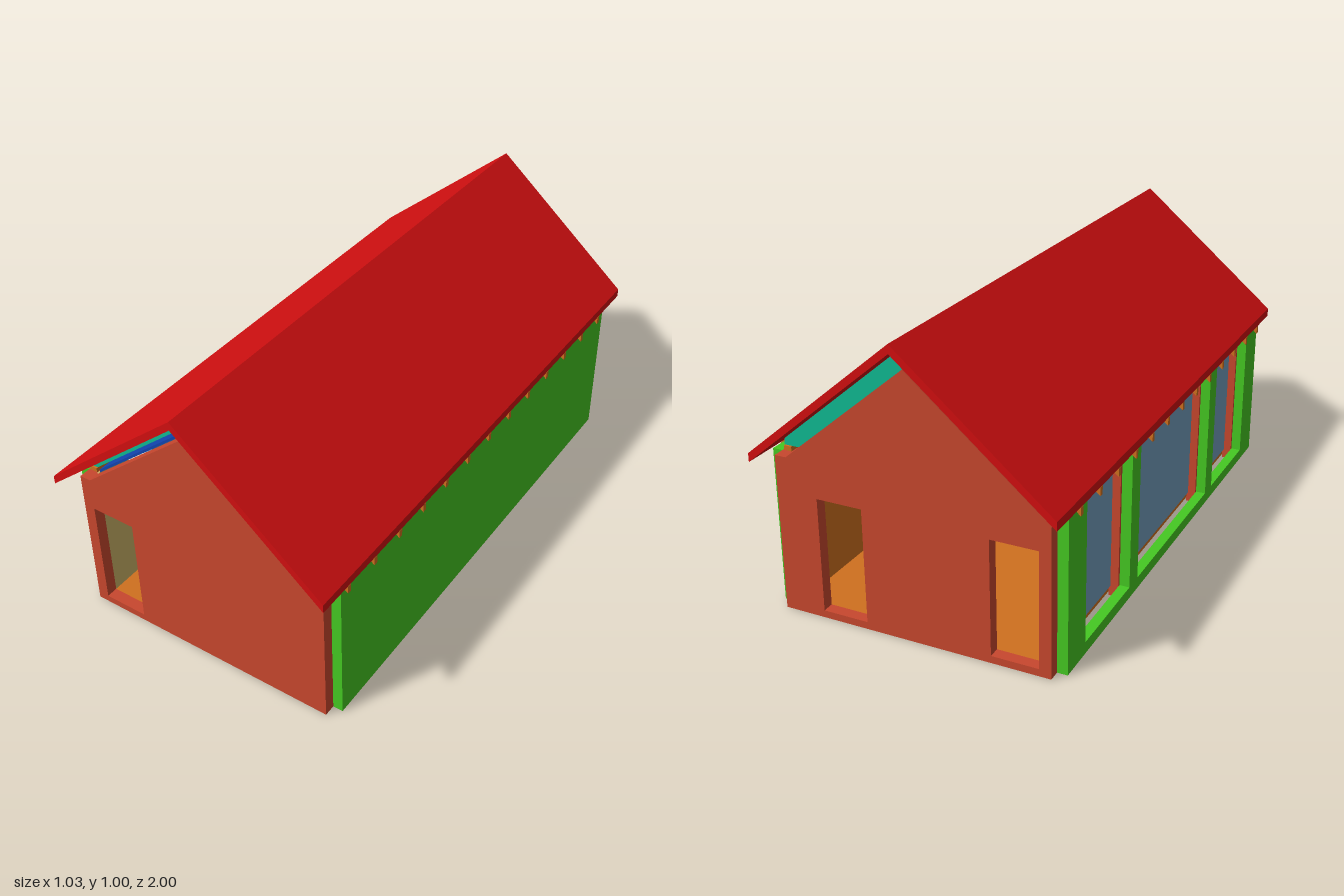
import * as THREE from 'three';

export function createModel() {
  const model = new THREE.Group();
  model.name = 'house';

  const mat = (name, color) => {
    const m = new THREE.MeshStandardMaterial({ color });
    m.name = name;
    return m;
  };
  const red = mat('roofRed', 0xd20f10);
  const green = mat('claddingGreen', 0x45c922);
  const brick = mat('brick', 0xc8472e);
  const teal = mat('insulationTeal', 0x10ba92);
  const orange = mat('timberOrange', 0xd0701f);
  const blue = mat('ceilingBlue', 0x1145b0);
  const tan = mat('liningTan', 0xccb468);
  const glass = mat('glassBlue', 0x74a0c0);

  const add = (name, geometry, material) => {
    const mesh = new THREE.Mesh(geometry, material);
    mesh.name = name;
    model.add(mesh);
    return mesh;
  };
  // Box from its lower and upper limits
  const box = (name, material, x0, x1, y0, y1, z0, z1) =>
    add(name, new THREE.BoxGeometry(x1 - x0, y1 - y0, z1 - z0)
      .translate((x0 + x1) / 2, (y0 + y1) / 2, (z0 + z1) / 2), material);
  // Front-plane outline extruded from z0 to z1, with optional rectangular holes
  const prism = (name, material, points, z0, z1, holes = []) => {
    const shape = new THREE.Shape(points.map(([x, y]) => new THREE.Vector2(x, y)));
    for (const [x0, x1, y0, y1] of holes) {
      shape.holes.push(new THREE.Path([
        new THREE.Vector2(x0, y0), new THREE.Vector2(x0, y1),
        new THREE.Vector2(x1, y1), new THREE.Vector2(x1, y0)]));
    }
    const g = new THREE.ExtrudeGeometry(shape, { depth: z1 - z0, bevelEnabled: false });
    return add(name, g.translate(0, 0, z0), material);
  };
  const mirrorX = (points, side) => points.map(([x, y]) => [x * side, y]);

  // Roof covering
  prism('roof', red, [[0, 1], [-0.517, 0.565], [-0.517, 0.535], [0, 0.97],
    [0.517, 0.535], [0.517, 0.565]], -1, 1);

  // Gable walls with door openings
  const gable = [[-0.47, 0], [0.47, 0], [0.47, 0.54], [0.43, 0.54], [0, 0.9],
    [-0.43, 0.54], [-0.47, 0.54]];
  const door = [-0.43, -0.27, 0.025, 0.42];
  prism('frontGable', brick, gable, 0.893, 0.933, [door]);
  prism('backGable', brick, gable, -0.933, -0.893, [door, [0.165, 0.325, 0.025, 0.42]]);

  // Floor slab
  box('floor', orange, -0.43, 0.43, 0.004, 0.025, -0.893, 0.893);

  // Solid side wall: cladding, brick leaf and inner lining
  box('leftCladding', green, 0.47, 0.505, 0, 0.54, -0.893, 0.893);
  box('leftBrickLeaf', brick, 0.432, 0.47, 0, 0.54, -0.893, 0.893);
  box('leftLining', orange, 0.424, 0.432, 0.025, 0.54, -0.893, 0.893);

  // Glazed side wall: frame, sill, brick piers and panes
  box('windowSill', green, -0.505, -0.47, 0, 0.04, -0.893, 0.893);
  for (const s of [-1, 1]) {
    const span = (a, b) => (s > 0 ? [a, b] : [-b, -a]);
    box('cornerCladding', green, -0.505, -0.47, 0.04, 0.54, ...span(0.765, 0.893));
    box('cornerPier', brick, -0.47, -0.436, 0, 0.54, ...span(0.755, 0.893));
    box('cornerLining', tan, -0.436, -0.43, 0.025, 0.54, ...span(0.755, 0.893));
    box('windowPost', green, -0.505, -0.47, 0.04, 0.54, ...span(0.34, 0.41));
    box('postPier', brick, -0.47, -0.436, 0, 0.54, ...span(0.33, 0.42));
    box('sidePane', glass, -0.442, -0.434, 0.035, 0.465, ...span(0.42, 0.755));
  }
  box('middlePane', glass, -0.442, -0.434, 0.035, 0.465, -0.33, 0.33);

  // Roof insulation, set behind the gables, and the sloped ceiling sheet
  prism('leftInsulation', teal, [[0, 0.9], [0.41, 0.557], [0.465, 0.557],
    [0.465, 0.578], [0, 0.969]], -0.885, 0.885);
  prism('rightInsulation', teal, [[0, 0.969], [-0.465, 0.578], [-0.465, 0.557],
    [-0.438, 0.557], [0, 0.925]], -0.885, 0.885);
  prism('ceilingSheet', blue, [[-0.43, 0.54], [-0.02, 0.883], [-0.02, 0.893],
    [-0.43, 0.551]], -0.885, 0.885);

  // Wall plates and rafter tails under both eaves
  for (const s of [-1, 1]) {
    const plate = [[0.438, 0.54], [0.465, 0.54], [0.465, 0.556], [0.438, 0.556]];
    prism('wallPlate', orange, mirrorX(plate, s), -0.89, 0.89);
    const tail = [[0.465, 0.54], [0.475, 0.54], [0.517, 0.505], [0.517, 0.534], [0.465, 0.578]];
    for (let i = 0; i < 13; i++) {
      const z = 0.865 - i * 0.1412;
      prism('rafterTail', orange, mirrorX(tail, s), z - 0.008, z + 0.008);
    }
  }
  return model;
}
